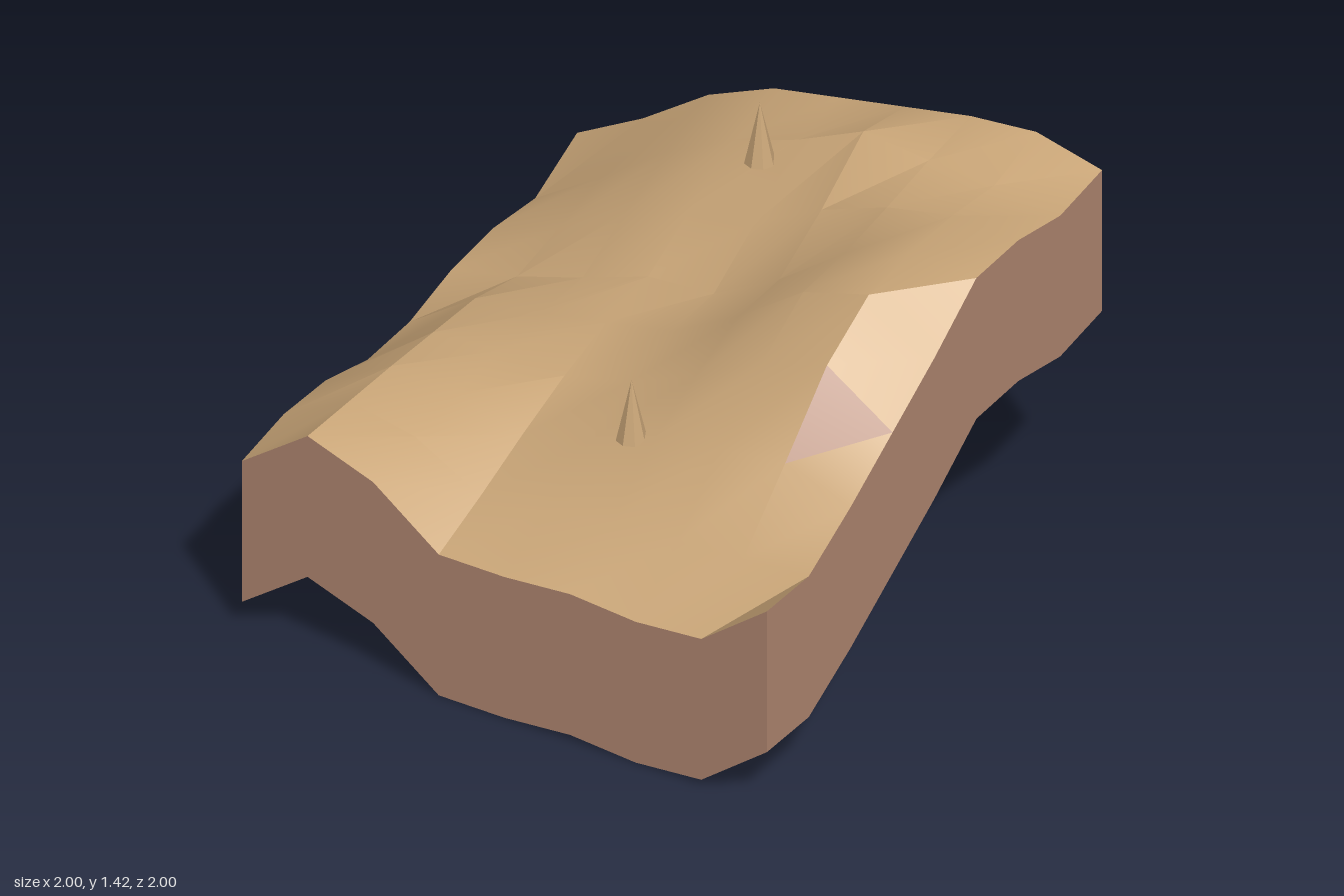
import * as THREE from 'three';
import { toCreasedNormals } from 'three/addons/utils/BufferGeometryUtils.js';

const N = 8, STEP = 0.25, SKIRT = 0.535;

// Ground heights: rows run back (z = -1) to front (z = 1), columns x = -1 to 1
const HEIGHTS = [
  [0.82, 0.96, 1.135, 1.245, 1.295, 1.345, 1.395, 1.42, 1.36],
  [0.705, 0.87, 1.05, 1.18, 1.268, 1.385, 1.36, 1.35, 1.32],
  [0.725, 0.81, 0.95, 1.05, 1.09, 1.22, 1.315, 1.37, 1.36],
  [0.70, 0.76, 0.84, 0.93, 0.95, 1.09, 1.275, 1.365, 1.35],
  [0.635, 0.81, 0.84, 0.89, 0.94, 1.08, 1.26, 1.335, 1.18],
  [0.625, 0.815, 0.83, 0.82, 0.88, 0.99, 1.12, 1.20, 1.03],
  [0.68, 0.82, 0.80, 0.73, 0.79, 0.88, 0.93, 0.96, 0.88],
  [0.685, 0.82, 0.77, 0.63, 0.66, 0.70, 0.71, 0.73, 0.75],
  [0.64, 0.82, 0.73, 0.54, 0.54, 0.56, 0.54, 0.56, 0.75],
];

const point = (i, j, drop = 0) => [-1 + i * STEP, HEIGHTS[j][i] - drop, -1 + j * STEP];

function fromTriangles(triangles) {
  const geometry = new THREE.BufferGeometry();
  geometry.setAttribute('position', new THREE.Float32BufferAttribute(triangles.flat(2), 3));
  return geometry;
}

function named(name, geometry, material) {
  const mesh = new THREE.Mesh(geometry, material);
  mesh.name = name;
  return mesh;
}

// Rolling ground surface, with one bare earth facet on the slope
function buildGround(materials) {
  const triangles = [], bare = [];
  for (let j = 0; j < N; j++) {
    for (let i = 0; i < N; i++) {
      const a = point(i, j), b = point(i, j + 1), c = point(i + 1, j + 1), d = point(i + 1, j);
      (i === 7 && j === 5 ? bare : triangles).push([a, b, d]);
      triangles.push([b, c, d]);
    }
  }
  const geometry = fromTriangles([...triangles, ...bare]);
  geometry.addGroup(0, triangles.length * 3, 0);
  geometry.addGroup(triangles.length * 3, bare.length * 3, 1);
  return named('ground', toCreasedNormals(geometry, 0.45), materials);
}

// Vertical earth wall that follows one border of the ground, open below
function buildWall(name, cell, material) {
  const triangles = [];
  for (let k = 0; k < N; k++) {
    const a = point(...cell(k)), b = point(...cell(k + 1));
    const c = point(...cell(k + 1), SKIRT), d = point(...cell(k), SKIRT);
    triangles.push([a, d, b], [d, c, b]);
  }
  const geometry = fromTriangles(triangles);
  geometry.computeVertexNormals();
  return named(name, geometry, material);
}

export function createModel() {
  const sand = new THREE.MeshStandardMaterial({ color: 0xcaa678, side: THREE.DoubleSide });
  sand.name = 'sand';
  const earth = new THREE.MeshStandardMaterial({ color: 0xb08670, side: THREE.DoubleSide });
  earth.name = 'earth';
  const spikeSand = sand.clone();
  spikeSand.name = 'spike sand';
  spikeSand.flatShading = true;

  const model = new THREE.Group();
  model.name = 'terrainTile';
  model.add(
    buildGround([sand, earth]),
    buildWall('frontWall', (k) => [k, N], earth),
    buildWall('backWall', (k) => [N - k, 0], earth),
    buildWall('leftWall', (k) => [N, N - k], earth),
    buildWall('rightWall', (k) => [0, k], earth),
  );

  // Two small pointed spikes standing on the ground
  const spike = new THREE.ConeGeometry(0.052, 0.225, 8);
  [[-0.09, 1.2, -0.665], [0.165, 0.855, 0.5]].forEach(([x, y, z], n) => {
    const cone = named(`spike${n + 1}`, spike, spikeSand);
    cone.position.set(x, y + 0.1125, z);
    model.add(cone);
  });
  return model;
}
